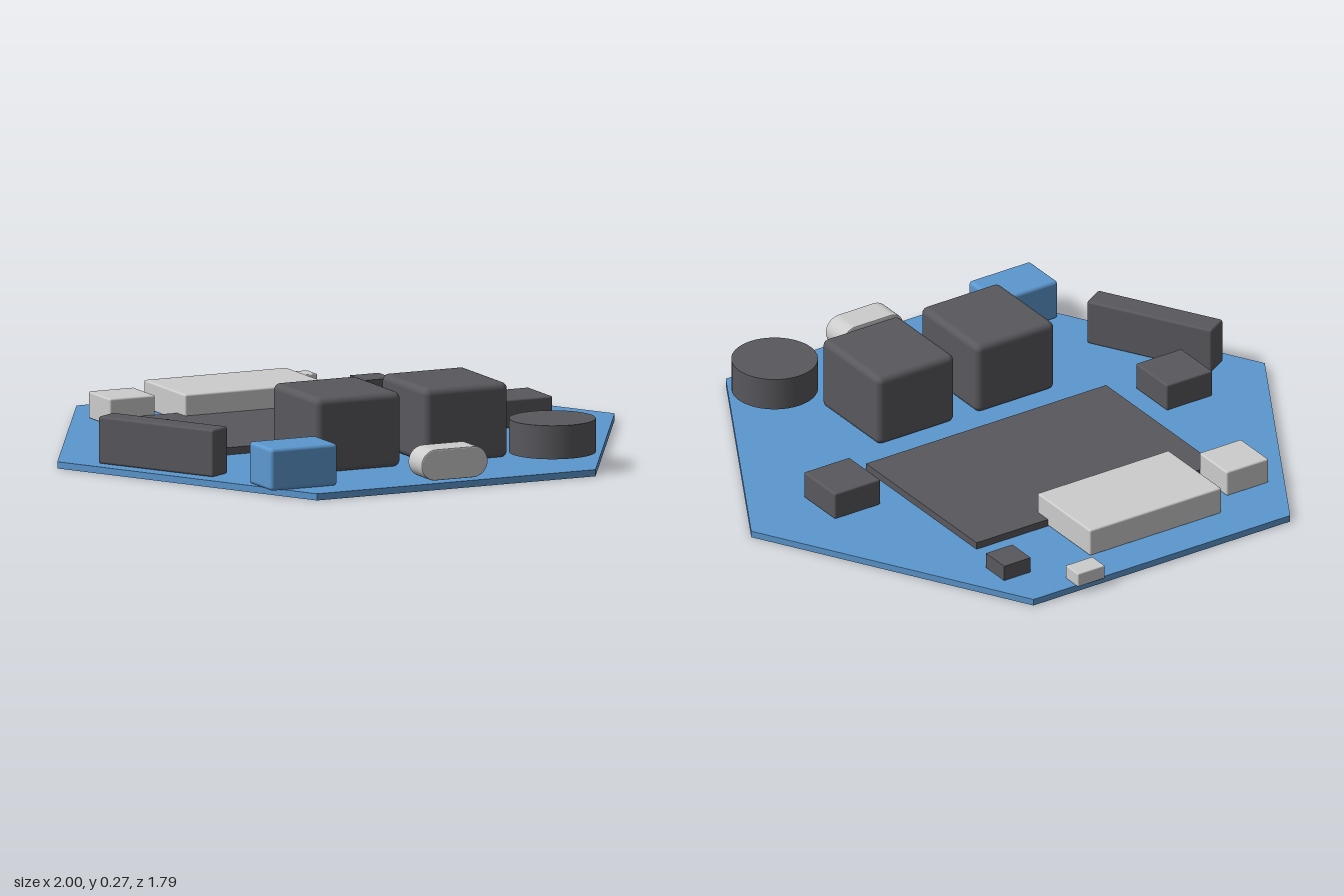
import * as THREE from 'three';
import { RoundedBoxGeometry } from 'three/addons/geometries/RoundedBoxGeometry.js';

const material = (name, color) => {
  const m = new THREE.MeshStandardMaterial({ color });
  m.name = name;
  return m;
};

export function createModel() {
  const blue = material('boardBlue', 0x5c98d0);
  const dark = material('charcoal', 0x59585d);
  const pale = material('paleGrey', 0xcccccc);
  const group = new THREE.Group();

  const add = (name, geometry, mat) => {
    const mesh = new THREE.Mesh(geometry, mat);
    mesh.name = name;
    group.add(mesh);
    return mesh;
  };

  // Box from its extents on each axis, with optional rounded edges
  const block = (name, mat, [x0, x1], [y0, y1], [z0, z1], radius = 0) => {
    const size = [x1 - x0, y1 - y0, z1 - z0];
    const geometry = radius
      ? new RoundedBoxGeometry(...size, 3, radius)
      : new THREE.BoxGeometry(...size);
    const mesh = add(name, geometry, mat);
    mesh.position.set((x0 + x1) / 2, (y0 + y1) / 2, (z0 + z1) / 2);
    return mesh;
  };

  // Hexagonal circuit board
  const top = 0.022;
  const outline = new THREE.Shape(
    [[1, 0], [0.5, 0.887], [-0.5, 0.887], [-1, 0], [-0.5, -0.887], [0.5, -0.887]]
      .map(([x, y]) => new THREE.Vector2(x, y)));
  const boardGeometry = new THREE.ExtrudeGeometry(outline, { depth: top, bevelEnabled: false });
  boardGeometry.rotateX(-Math.PI / 2);
  add('board', boardGeometry, blue);

  // Flat central chip and the small chip at the back
  block('mainChip', dark, [-0.47, 0.465], [top, 0.046], [-0.507, 0.13]);
  block('smallChip', dark, [0.405, 0.508], [top, 0.075], [-0.73, -0.625]);

  // Twin tall blocks and twin side blocks
  block('tallBlockRight', dark, [-0.345, -0.04], [top, 0.268], [0.235, 0.568], 0.022);
  block('tallBlockLeft', dark, [0.045, 0.345], [top, 0.268], [0.235, 0.568], 0.022);
  block('sideBlockRight', dark, [-0.738, -0.56], [top, 0.115], [-0.087, 0.093], 0.006);
  block('sideBlockLeft', dark, [0.555, 0.733], [top, 0.115], [-0.087, 0.093], 0.006);

  // Slim upright connector set along the slanted edge
  const slim = block('edgeConnector', dark,
    [-0.79, -0.704], [top, 0.177], [0.035, 0.483], 0.008);
  slim.rotation.y = Math.PI / 6;

  // Pale metal housings along the back
  block('backHousing', pale, [-0.325, 0.187], [top, 0.115], [-0.75, -0.445], 0.006);
  block('cornerHousing', pale, [-0.565, -0.402], [top, 0.11], [-0.667, -0.507], 0.006);
  block('backSocket', pale, [0.23, 0.335], [top, 0.07], [-0.9, -0.827], 0.004);

  // Blue connector at the front corner
  block('blueConnector', blue, [-0.615, -0.375], [top, 0.16], [0.62, 0.785], 0.012);

  // Round component raised just above the board
  const drum = add('drum', new THREE.CylinderGeometry(0.14, 0.14, 0.11, 48), dark);
  drum.position.set(0.438, 0.11, 0.697);

  // Pill-shaped socket at the front edge
  const r = 0.051;
  const pill = new THREE.Shape();
  pill.absarc(0.068, 0, r, -Math.PI / 2, Math.PI / 2);
  pill.absarc(-0.068, 0, r, Math.PI / 2, Math.PI * 1.5);
  const socket = add('frontSocket', new THREE.ExtrudeGeometry(pill,
    { depth: 0.092, bevelEnabled: true, bevelSize: 0.004, bevelThickness: 0.004,
      bevelOffset: -0.004, bevelSegments: 2, curveSegments: 12 }), pale);
  socket.position.set(0, 0.08, 0.781);

  return group;
}
